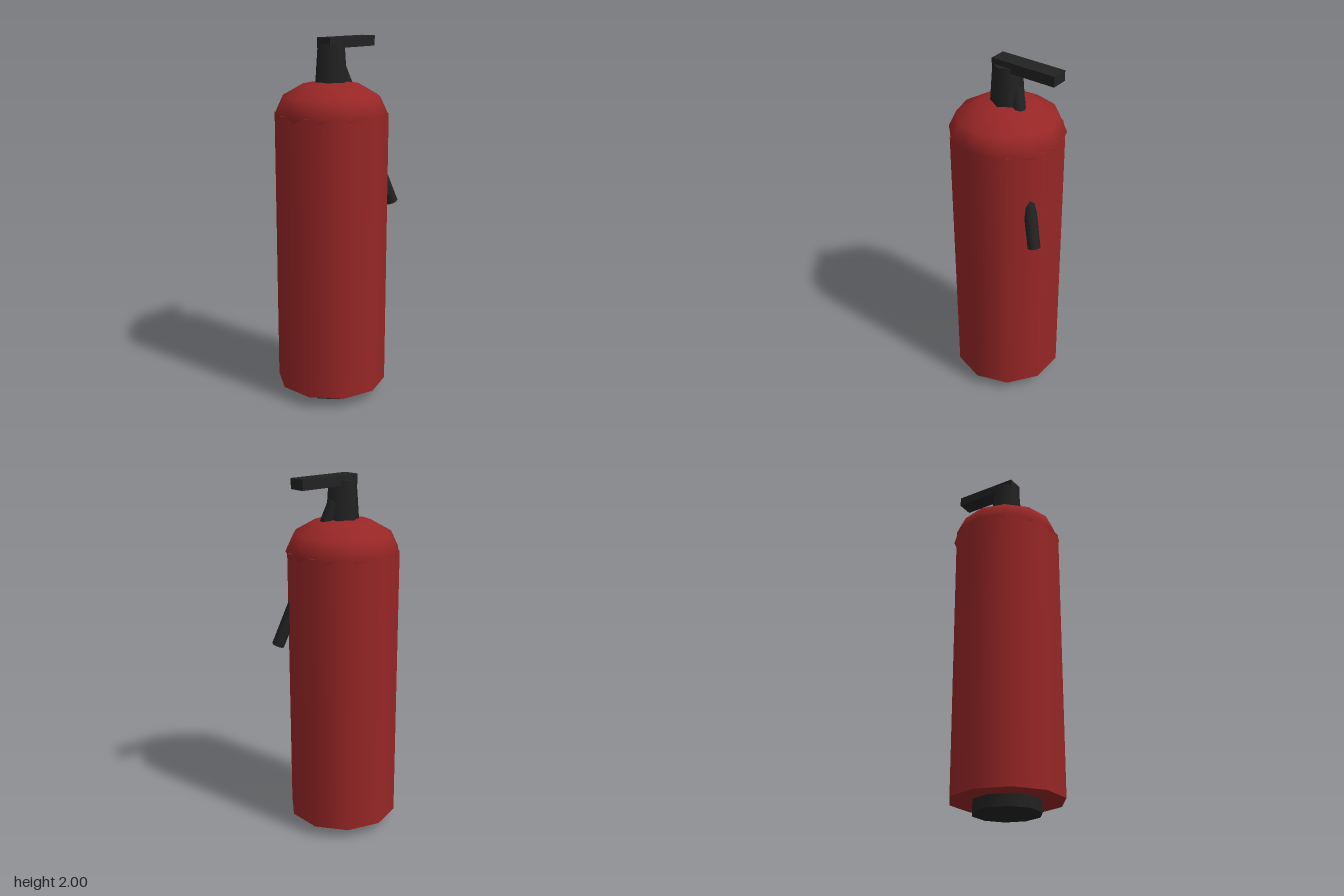
import * as THREE from 'three';

export function createModel() {
  const model = new THREE.Group();
  model.name = 'fireExtinguisher';
  const red = new THREE.MeshStandardMaterial({ name: 'red', color: 0x982626 });
  const black = new THREE.MeshStandardMaterial({ name: 'black', color: 0x222222 });
  const axisX = -0.018; // the tank stands slightly off centre

  function add(name, geometry, material, x, y, z) {
    const mesh = new THREE.Mesh(geometry, material);
    mesh.name = name;
    mesh.position.set(x, y, z);
    model.add(mesh);
    return mesh;
  }

  // Upright cylinder or cone on the tank axis, from y0 to y1
  function column(name, material, rTop, rBottom, y0, y1, sides) {
    const geometry = new THREE.CylinderGeometry(rTop, rBottom, y1 - y0, sides);
    return add(name, geometry, material, axisX, (y0 + y1) / 2, 0);
  }

  column('base', black, 0.185, 0.185, 0, 0.08, 10);
  column('tank', red, 0.308, 0.308, 0.065, 1.605, 10);
  column('neck', black, 0.075, 0.09, 1.75, 1.97, 6);

  // Shoulder: a flattened sphere, its lower half inside the tank
  const dome = add('dome', new THREE.SphereGeometry(0.308, 12, 6), red, axisX, 1.605, 0);
  dome.scale.y = 0.57;

  // Lever above the neck
  add('handle', new THREE.BoxGeometry(0.37, 0.055, 0.092), black, 0.105, 1.9725, 0);

  // Straight hose running from the neck through the tank wall
  const start = new THREE.Vector3(0.04, 1.86, 0);
  const end = new THREE.Vector3(0.29, 1.083, 0.185);
  const direction = start.clone().sub(end);
  const middle = start.clone().add(end).multiplyScalar(0.5);
  const hose = add('hose', new THREE.CylinderGeometry(0.034, 0.034, direction.length(), 8),
    black, middle.x, middle.y, middle.z);
  hose.quaternion.setFromUnitVectors(new THREE.Vector3(0, 1, 0), direction.normalize());

  return model;
}
